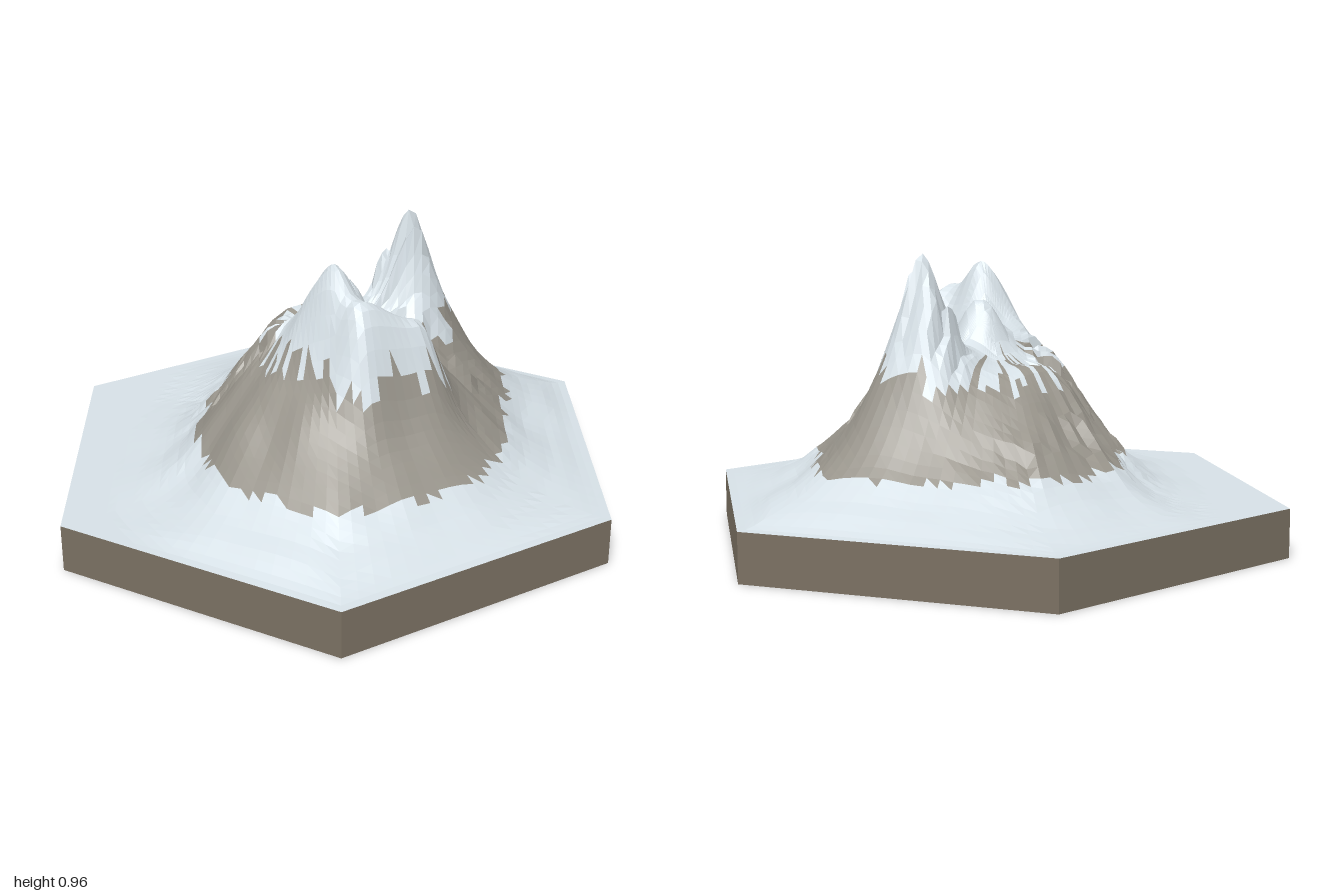
import * as THREE from 'three';

const BASE = 0.16, RINGS = 32, SEGS = 16, SECTORS = SEGS * 6;
const { smoothstep, lerp, clamp, mapLinear } = THREE.MathUtils;

// repeatable pseudo-random value for a grid cell
const hash = (a, b) => {
  const s = Math.sin(a * 127.1 + b * 311.7) * 43758.5453;
  return s - Math.floor(s);
};

// smooth value noise, 0..1
function noise(x, y) {
  const i = Math.floor(x), j = Math.floor(y);
  const u = smoothstep(x - i, 0, 1), v = smoothstep(y - j, 0, 1);
  return lerp(lerp(hash(i, j), hash(i + 1, j), u), lerp(hash(i, j + 1), hash(i + 1, j + 1), u), v);
}

// radius of the mountain foot every 30 degrees, from +z towards +x
const FOOT = [0.67, 0.61, 0.58, 0.56, 0.67, 0.6, 0.61, 0.53, 0.43, 0.425, 0.49, 0.6];

function footRadius(x, z) {
  const a = ((Math.atan2(x, z) / Math.PI) * 6 + 12) % 12, i = Math.floor(a);
  return lerp(FOOT[i % 12], FOOT[(i + 1) % 12], smoothstep(a - i, 0, 1));
}

// overall slope outwards: [distance / foot radius, height]
const SLOPE = [[0, 0.43], [0.2, 0.45], [0.48, 0.42], [0.62, 0.36], [0.78, 0.265], [1, 0.14],
  [1.15, 0.075], [1.3, 0.034], [1.45, 0.012], [1.65, 0], [4, 0]];

function slope(u) {
  const k = Math.max(1, SLOPE.findIndex((p) => p[0] >= u));
  const [a, b] = [SLOPE[k - 1], SLOPE[k]];
  return mapLinear(u, a[0], b[0], a[1], b[1]);
}

// summits and ridges: start x, z, end x, z, added height, radius
const PEAKS = [
  [0, 0.19, 0, 0.19, 0.28, 0.085],
  [0.25, -0.17, 0.25, -0.17, 0.31, 0.085],
  [0.08, 0.33, 0.25, 0.24, 0.22, 0.08],
  [0.02, 0.01, 0.05, 0.02, 0.17, 0.06],
  [0.3, -0.3, 0.36, -0.24, 0.12, 0.1],
  [-0.12, 0.1, -0.1, 0.16, 0.08, 0.06],
];

function peak(x, z, [ax, az, bx, bz, h, r]) {
  const dx = bx - ax, dz = bz - az, len = dx * dx + dz * dz || 1;
  const k = clamp(((x - ax) * dx + (z - az) * dz) / len, 0, 1);
  const d = Math.hypot(x - ax - k * dx, z - az - k * dz) / r;
  return h * Math.exp(-d * d * 0.75);
}

function terrainHeight(x, z, t, sector, ring) {
  let h = slope(Math.hypot(x, z) / footRadius(x, z)) * smoothstep(1 - t, 0, 0.12);
  for (const p of PEAKS) h += peak(x, z, p);
  // broad lumps, then craggy ribs on some flanks
  const rough = Math.min(1, h * 3) * smoothstep(1 - t, 0, 0.3);
  h += (noise(x * 9 + 20, z * 9 + 20) - 0.5) * 0.05 * rough;
  const crag = smoothstep(noise(x * 5 + 7, z * 5 + 31), 0.3, 0.7);
  const middle = smoothstep(t, 0.08, 0.25) * smoothstep(0.75 - t, 0, 0.3);
  h += (hash(sector, Math.floor(ring / 3)) - 0.5) * 0.09 * crag * middle * rough;
  return BASE + Math.max(0, h);
}

// point on a concentric hexagonal ring
function terrainPoint(ring, index) {
  const sector = index % SECTORS, side = Math.floor(sector / SEGS), f = (sector % SEGS) / SEGS;
  const t = ring / RINGS, a = side * Math.PI / 3, b = a + Math.PI / 3;
  const x = t * lerp(Math.sin(a), Math.sin(b), f);
  const z = t * lerp(Math.cos(a), Math.cos(b), f);
  return [x, terrainHeight(x, z, t, ring ? sector : 0, ring), z];
}

function flatGeometry(positions) {
  const g = new THREE.BufferGeometry();
  g.setAttribute('position', new THREE.Float32BufferAttribute(positions, 3));
  g.computeVertexNormals();
  return g;
}

export function createModel() {
  const snow = new THREE.MeshStandardMaterial({ color: 0xd6e0e6 });
  const rock = new THREE.MeshStandardMaterial({ color: 0x98948b });
  const earth = new THREE.MeshStandardMaterial({ color: 0x7a7062 });
  snow.name = 'snow';
  rock.name = 'rock';
  earth.name = 'earth';

  const model = new THREE.Group();
  model.name = 'mountainTile';
  const add = (name, geometry, material) => {
    const mesh = new THREE.Mesh(geometry, material);
    mesh.name = name;
    model.add(mesh);
  };

  // hexagonal plinth: walls and underside
  const walls = new THREE.CylinderGeometry(1, 1, BASE, 6, 1, true).toNonIndexed();
  walls.translate(0, BASE / 2, 0);
  walls.computeVertexNormals();
  add('plinthWalls', walls, earth);
  add('plinthUnderside', new THREE.CircleGeometry(1, 6, Math.PI / 2).rotateX(Math.PI / 2), earth);

  // terrain triangles sorted by height: snow field, rock band, snow caps
  const field = [], band = [], caps = [];
  const triangle = (sector, a, b, c) => {
    const y = (a[1] + b[1] + c[1]) / 3;
    // streaky snow line, different in each sector
    const snowLine = 0.585 + (hash(sector, 91) - 0.5) * 0.13;
    const fieldLine = 0.295 + (hash(Math.floor(sector / 2), 17) - 0.5) * 0.03;
    const target = y < fieldLine ? field : y < snowLine ? band : caps;
    target.push(...a, ...b, ...c);
  };
  for (let ring = 0; ring < RINGS; ring++) {
    for (let s = 0; s < SECTORS; s++) {
      const inner = terrainPoint(ring, s), innerNext = terrainPoint(ring, s + 1);
      const outer = terrainPoint(ring + 1, s), outerNext = terrainPoint(ring + 1, s + 1);
      triangle(s, inner, outer, outerNext);
      if (ring > 0) triangle(s, inner, outerNext, innerNext);
    }
  }
  add('snowField', flatGeometry(field), snow);
  add('rockSlopes', flatGeometry(band), rock);
  add('snowCaps', flatGeometry(caps), snow);
  return model;
}
